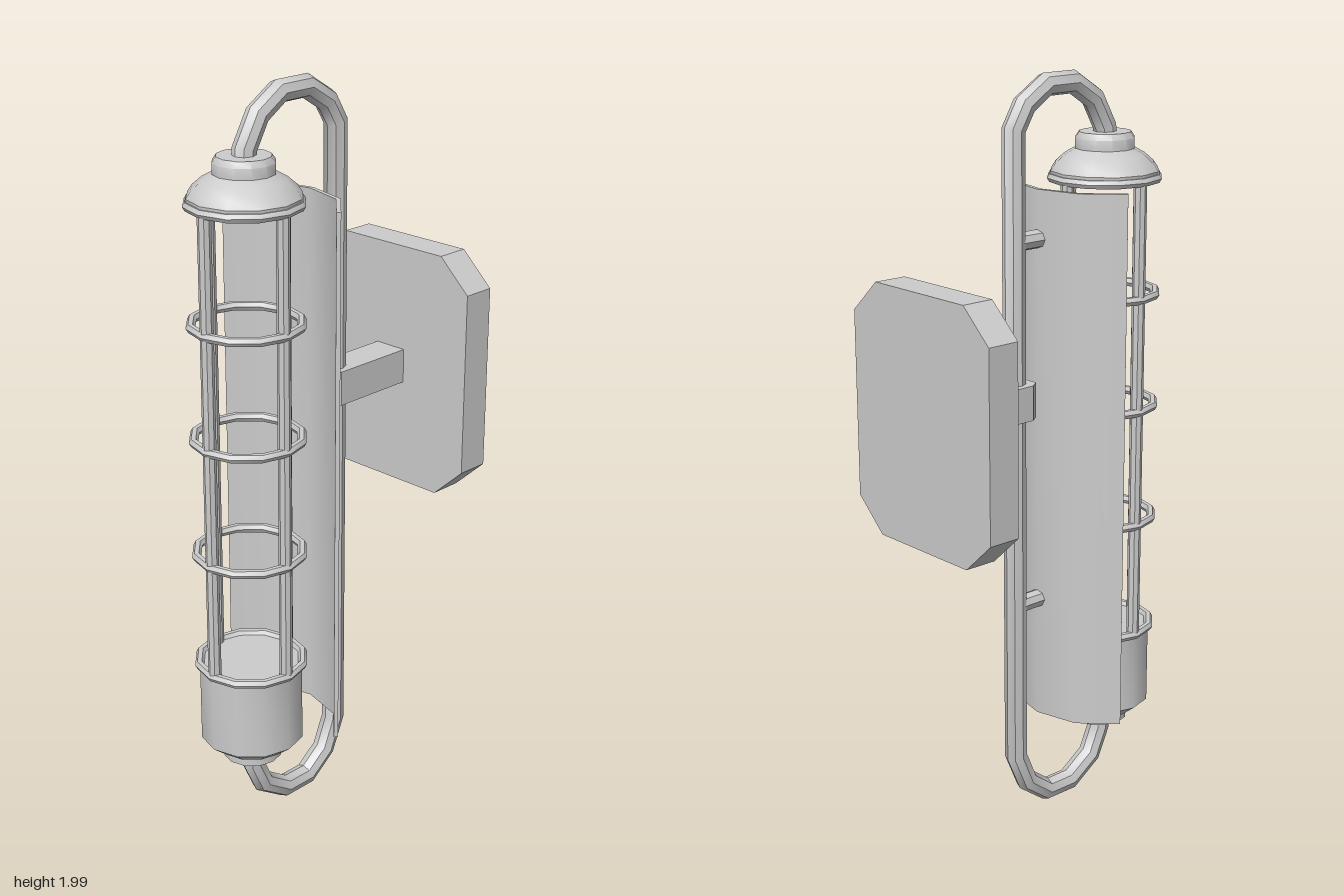
import * as THREE from 'three';
import { toCreasedNormals } from 'three/addons/utils/BufferGeometryUtils.js';

const AXIS_Z = 0.23; // lamp axis
const material = new THREE.MeshStandardMaterial({ color: 0xcccccc });

// Curve that stops exactly at its given points, so bends stay faceted
class CornerPath extends THREE.Curve {
  constructor(points) {
    super();
    this.points = points;
  }
  index(u) {
    return Math.round(u * (this.points.length - 1));
  }
  getPointAt(u, target = new THREE.Vector3()) {
    return target.copy(this.points[this.index(u)]);
  }
  getTangentAt(u, target = new THREE.Vector3()) {
    const p = this.points, i = this.index(u), last = p.length - 1;
    const before = p[Math.min(i, last - 1)], here = p[Math.max(i, 1)];
    target.set(0, 0, 0);
    if (i > 0) target.add(here.clone().sub(p[i - 1]).normalize());
    if (i < last) target.add(p[i + 1].clone().sub(before).normalize());
    return target.normalize();
  }
}

const vectors = (list) => list.map(([x, y]) => new THREE.Vector2(x, y));

export function createModel() {
  const model = new THREE.Group();
  model.name = 'wallLamp';

  const add = (name, geometry, x = 0, y = 0, z = 0, parent = model) => {
    const mesh = new THREE.Mesh(toCreasedNormals(geometry, 0.6), material);
    mesh.name = name;
    mesh.position.set(x, y, z);
    parent.add(mesh);
    return mesh;
  };
  const turned = (name, profile) =>
    add(name, new THREE.LatheGeometry(vectors(profile), 12), 0, 0, AXIS_Z);
  const extrude = (outline, depth) =>
    new THREE.ExtrudeGeometry(new THREE.Shape(vectors(outline)), { depth, bevelEnabled: false });
  // Plan outlines are given as [x, z] and raised along y
  const raise = (plan, height) =>
    extrude(plan.map(([x, z]) => [x, -z]), height).rotateX(-Math.PI / 2);

  // Lamp holder and cap
  turned('lampHolder', [
    [0, 0.205], [0.078, 0.205], [0.078, 0.235], [0.095, 0.235],
    [0.138, 0.27], [0.138, 0.49], [0, 0.49],
  ]);
  turned('lampCap', [
    [0, 1.72], [0.14, 1.72], [0.142, 1.74], [0.13, 1.758], [0.105, 1.78],
    [0.078, 1.795], [0.078, 1.822], [0.068, 1.837], [0, 1.837],
  ]);

  // Wire cage: hoops and upright bars
  const cage = new THREE.Group();
  cage.name = 'cage';
  cage.position.z = AXIS_Z;
  model.add(cage);
  for (const y of [0.49, 0.805, 1.12, 1.42, 1.722]) {
    add('cageHoop', new THREE.TorusGeometry(0.139, 0.012, 6, 12).rotateX(Math.PI / 2), 0, y, 0, cage);
  }
  for (let i = 0; i < 4; i++) {
    const a = (i * Math.PI) / 2;
    add('cageBar', new THREE.CylinderGeometry(0.017, 0.017, 1.24, 8),
      0.13 * Math.sin(a), 1.105, 0.13 * Math.cos(a), cage);
  }

  // Bent reflector sheet behind the cage
  const back = [[-0.205, 0.113], [-0.12, 0.026], [0, -0.003], [0.12, 0.026], [0.205, 0.113]];
  const face = [[0.197, 0.121], [0.114, 0.037], [0, 0.009], [-0.114, 0.037], [-0.197, 0.121]];
  add('reflector', raise([...back, ...face], 1.43), 0, 0.285, 0);

  // Looping support tube, path as [z, y]
  const path = [
    [0.233, 1.8], [0.228, 1.85], [0.185, 1.925], [0.115, 1.969], [0.025, 1.969],
    [-0.045, 1.925], [-0.08, 1.867], [-0.08, 0.182], [-0.042, 0.093],
    [0.028, 0.04], [0.115, 0.04], [0.195, 0.093], [0.23, 0.17], [0.233, 0.23],
  ].map(([z, y]) => new THREE.Vector3(0, y, z));
  add('supportTube', new THREE.TubeGeometry(new CornerPath(path), path.length - 1, 0.03, 8));

  // Pins joining the reflector to the tube
  for (const y of [0.62, 1.59]) {
    add('pin', new THREE.CylinderGeometry(0.024, 0.024, 0.08, 8).rotateX(Math.PI / 2), 0, y, -0.035);
  }

  // Arm with chamfered front end
  add('arm', raise([
    [-0.047, -0.297], [0.047, -0.297], [0.047, -0.058],
    [0.028, -0.032], [-0.028, -0.032], [-0.047, -0.058],
  ], 0.092), 0, 1.136, 0);

  // Wall plate with cut corners
  add('wallPlate', extrude([
    [-0.167, -0.33], [0.167, -0.33], [0.258, -0.245], [0.258, 0.245],
    [0.167, 0.33], [-0.167, 0.33], [-0.258, 0.245], [-0.258, -0.245],
  ], 0.09), 0, 1.18, -0.385);

  return model;
}
